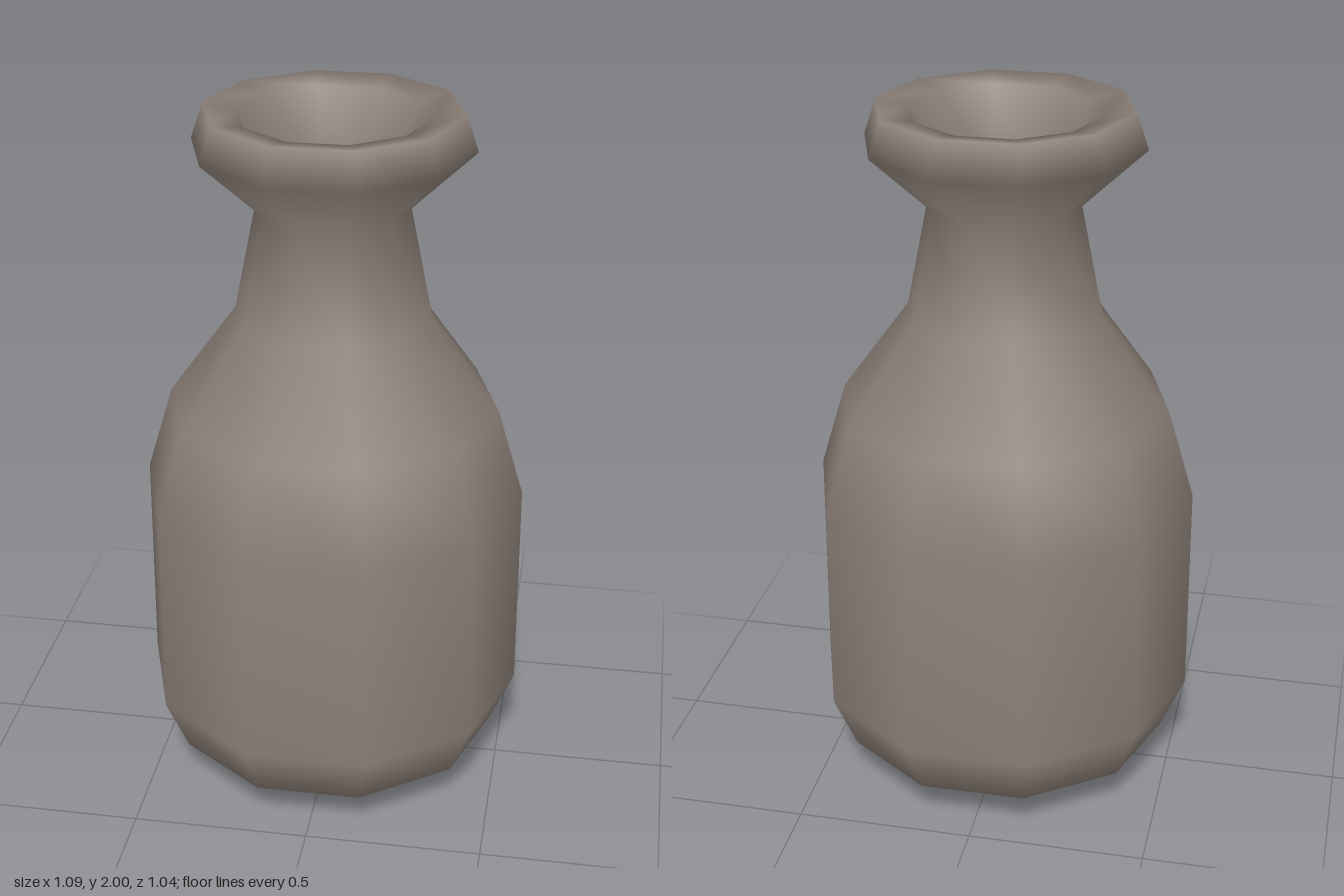
import * as THREE from 'three';

const SIDES = 10;

// Revolves [radius, height] pairs, with a corner of the decagon on the x axis
function revolve(profile) {
  const points = profile.map(([r, y]) => new THREE.Vector2(r, y));
  return new THREE.LatheGeometry(points, SIDES, Math.PI / 2);
}

export function createModel() {
  const clay = new THREE.MeshStandardMaterial({ color: 0x8e8279 });
  clay.name = 'greyBrownClay';

  // One continuous wall: base, belly, neck, flared lip, then back down inside
  const vase = new THREE.Mesh(revolve([
    [0, 0],
    [0.27, 0],
    [0.478, 0.12],
    [0.546, 0.28],
    [0.543, 0.9],
    [0.468, 1.15],
    [0.275, 1.42],
    [0.212, 1.735],
    [0.386, 1.9],
    [0.352, 2],
    [0.26, 1.985],
    [0.19, 1.75],
    [0.25, 1.41],
    [0.44, 1.13],
    [0.515, 0.89],
    [0.518, 0.29],
    [0.45, 0.15],
    [0.25, 0.04],
    [0, 0.03],
  ]), clay);
  vase.name = 'vaseBody';

  const group = new THREE.Group();
  group.name = 'vase';
  group.add(vase);
  return group;
}
